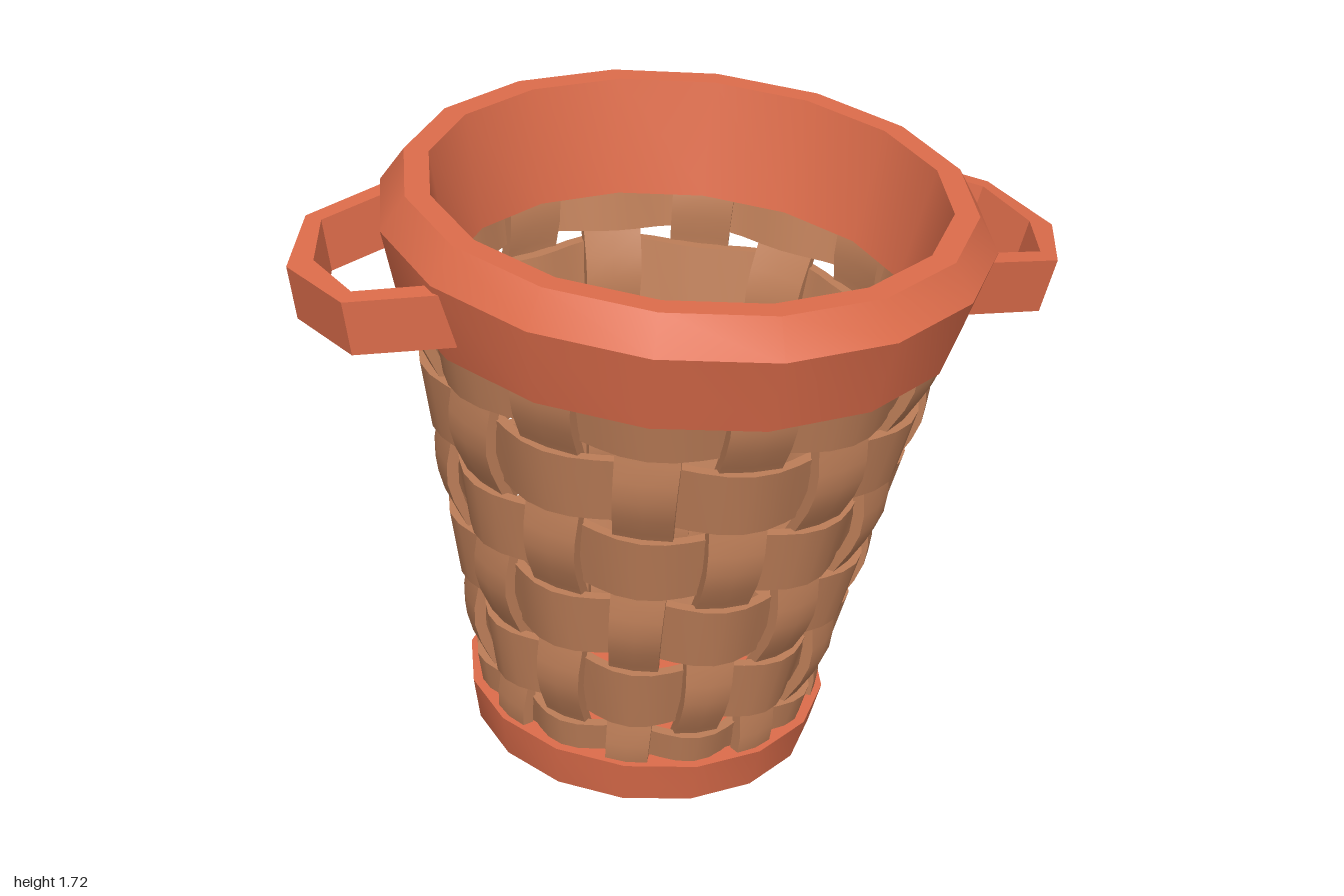
import * as THREE from 'three';
import { toCreasedNormals } from 'three/addons/utils/BufferGeometryUtils.js';

const SIDES = 16, ROWS = 6, ROW0 = 0.19, PITCH = 0.224;
const WAVE = 0.025, HALF_T = 0.015;
const wallRadius = (y) => 0.374 + 0.213 * y;

// Skins a loop of cross-sections, each an array of [x, y, z] corners
function skin(rings, closed) {
  const n = rings[0].length, index = [];
  const spans = closed ? rings.length : rings.length - 1;
  for (let i = 0; i < spans; i++) {
    const p = i * n, q = ((i + 1) % rings.length) * n;
    for (let j = 0; j < n; j++) {
      const k = (j + 1) % n;
      index.push(p + j, p + k, q + k, p + j, q + k, q + j);
    }
  }
  const geo = new THREE.BufferGeometry();
  geo.setAttribute('position', new THREE.Float32BufferAttribute(rings.flat(2), 3));
  geo.setIndex(index);
  return toCreasedNormals(geo, 0.7);
}

// Horizontal strip weaving in and out around the wall
function bandGeometry(row) {
  const y = ROW0 + row * PITCH, h = 0.0925, steps = SIDES * 4, rings = [];
  for (let i = 0; i < steps; i++) {
    const a = (i / steps) * Math.PI * 2;
    const wave = WAVE * Math.cos(a * SIDES / 2 + row * Math.PI);
    const corner = (dy, dr) => {
      const r = wallRadius(y + dy) + wave + dr;
      return [r * Math.cos(a), y + dy, r * Math.sin(a)];
    };
    rings.push([corner(-h, -HALF_T), corner(-h, HALF_T), corner(h, HALF_T), corner(h, -HALF_T)]);
  }
  return skin(rings, true);
}

// Upright strip, waving opposite to the bands, slightly bowed across its width
function stakeGeometry(sign) {
  const rings = [];
  for (let i = 0; i <= 24; i++) {
    const y = 0.078 + i * PITCH / 4;
    const r = wallRadius(y) - sign * WAVE * Math.cos(Math.PI * (y - ROW0) / PITCH);
    const w = (0.1 + 0.05 * y) / 2, bow = 0.008;
    const inner = r - HALF_T, outer = r + HALF_T;
    rings.push([
      [inner, y, w], [outer, y, w], [outer + bow, y, 0],
      [outer, y, -w], [inner, y, -w], [inner + bow, y, 0],
    ]);
  }
  return skin(rings, false);
}

function lathe(profile) {
  const points = profile.map(([r, y]) => new THREE.Vector2(r, y));
  return toCreasedNormals(new THREE.LatheGeometry(points, SIDES), 0.5);
}

// Angular loop handle, drooping outwards
function handleGeometry() {
  const height = 0.145;
  const outline = [
    [-0.03, 0.33], [0.235, 0.237], [0.325, 0], [0.235, -0.237], [-0.03, -0.33],
    [-0.03, -0.275], [0.203, -0.195], [0.258, 0], [0.203, 0.195], [-0.03, 0.275],
  ];
  const shape = new THREE.Shape(outline.map(([x, y]) => new THREE.Vector2(x, y)));
  const geo = new THREE.ExtrudeGeometry(shape, { depth: height, bevelEnabled: false });
  geo.translate(0, 0, -height / 2);
  geo.rotateX(-Math.PI / 2);
  geo.rotateZ(-0.205);
  geo.translate(0.67, 1.46, 0);
  return geo;
}

export function createModel() {
  const terracotta = new THREE.MeshStandardMaterial({ color: 0xde6d4b });
  terracotta.name = 'terracotta';
  const wicker = new THREE.MeshStandardMaterial({ color: 0xbd7e58 });
  wicker.name = 'wicker';

  const basket = new THREE.Group();
  basket.name = 'basket';
  const add = (name, geo, mat, turn = 0) => {
    const mesh = new THREE.Mesh(geo, mat);
    mesh.name = name;
    mesh.rotation.y = turn;
    basket.add(mesh);
  };

  // Base cup with a chamfered foot
  add('base', lathe([
    [0, 0], [0.31, 0], [0.457, 0.075], [0.482, 0.196], [0.43, 0.196], [0.4, 0.06], [0, 0.06],
  ]), terracotta);

  // Thick top rim
  add('rim', lathe([
    [0.59, 1.333], [0.718, 1.333], [0.777, 1.545], [0.72, 1.636], [0.657, 1.636], [0.59, 1.333],
  ]), terracotta);

  // Woven wall
  for (let row = 0; row < ROWS; row++) add('wovenBand', bandGeometry(row), wicker);
  const stakes = [stakeGeometry(1), stakeGeometry(-1)];
  for (let j = 0; j < SIDES; j++) {
    add('stake', stakes[j % 2], wicker, (j / SIDES) * Math.PI * 2);
  }

  // Handles
  const handle = handleGeometry();
  add('leftHandle', handle, terracotta);
  add('rightHandle', handle, terracotta, Math.PI);

  // The whole basket leans to its left
  basket.rotation.z = -0.0873;
  basket.position.set(-0.12, 0.028, 0);

  const model = new THREE.Group();
  model.name = 'wovenBasket';
  model.add(basket);
  return model;
}
